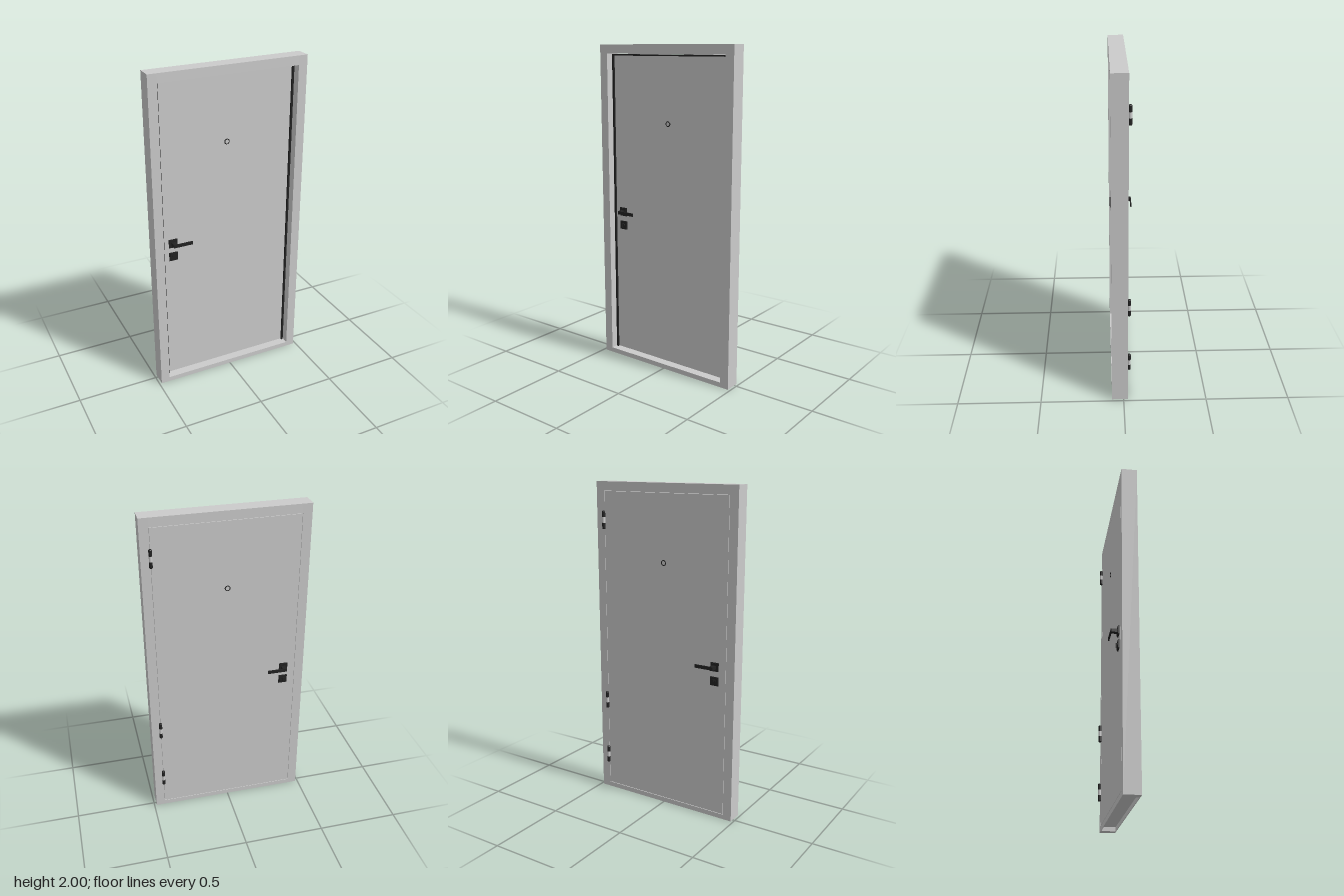
import * as THREE from 'three';

const grey = new THREE.MeshStandardMaterial({ color: 0xcccccc });
const dark = new THREE.MeshStandardMaterial({ color: 0x222222 });

function add(parent, name, geometry, material, x = 0, y = 0, z = 0) {
  const mesh = new THREE.Mesh(geometry, material);
  mesh.name = name;
  mesh.position.set(x, y, z);
  parent.add(mesh);
  return mesh;
}

// Box given by its extents along each axis
function block(parent, name, material, [x0, x1], [y0, y1], [z0, z1]) {
  return add(parent, name, new THREE.BoxGeometry(x1 - x0, y1 - y0, z1 - z0), material,
    (x0 + x1) / 2, (y0 + y1) / 2, (z0 + z1) / 2);
}

const BACK = -0.025, FRONT = 0.07, LEAF_FRONT = 0.02;
const OUTER = 0.485, INNER = 0.43, HEAD = 1.945, SILL = 0.03;

function createFrame() {
  const frame = new THREE.Group();
  frame.name = 'frame';
  const depth = [BACK, FRONT];
  block(frame, 'leftJamb', grey, [INNER, OUTER], [0, 2], depth);
  block(frame, 'rightJamb', grey, [-OUTER, -INNER], [0, 2], depth);
  block(frame, 'head', grey, [-INNER, INNER], [HEAD, 2], depth);
  // Sill is a channel, open underneath
  const width = [-INNER, INNER], t = 0.004;
  block(frame, 'sillTop', grey, width, [SILL - t, SILL], depth);
  block(frame, 'sillFront', grey, width, [0, SILL - t], [FRONT - t, FRONT]);
  block(frame, 'sillBack', grey, width, [0, SILL - t], [BACK, BACK + t]);
  // Rubber seal round the sides and top
  const seal = [LEAF_FRONT, 0.03];
  for (const s of [-1, 1]) {
    block(frame, 'sideSeal', dark, s < 0 ? [-0.425, -0.413] : [0.413, 0.425], [SILL, 1.942], seal);
  }
  block(frame, 'topSeal', dark, [-0.425, 0.425], [1.933, 1.942], seal);
  return frame;
}

// Lever, lock and peephole for one face; local +z points away from the leaf
function createHardware(dir) {
  const set = new THREE.Group();
  set.name = 'hardware';
  const x = -0.355 * dir, s = dir;
  const rose = (name, y) => {
    add(set, name, new THREE.BoxGeometry(0.053, 0.053, 0.006), dark, x, y, 0.003);
    add(set, name + 'Step', new THREE.BoxGeometry(0.045, 0.045, 0.003), dark, x, y, 0.0075);
  };
  rose('handleRose', 0.96);
  rose('lockRose', 0.873);

  // Bent lever: neck out from the rose, then a flat grip along the leaf
  const shape = new THREE.Shape();
  shape.moveTo(-0.012 * s, 0.006);
  shape.lineTo(-0.012 * s, 0.043);
  shape.quadraticCurveTo(-0.012 * s, 0.047, -0.008 * s, 0.047);
  shape.lineTo(0.11 * s, 0.047);
  shape.lineTo(0.11 * s, 0.04);
  shape.lineTo(0.019 * s, 0.04);
  shape.quadraticCurveTo(0.014 * s, 0.04, 0.014 * s, 0.035);
  shape.lineTo(0.014 * s, 0.006);
  const lever = new THREE.ExtrudeGeometry(shape, { depth: 0.02, bevelEnabled: false, curveSegments: 6 });
  lever.translate(0, 0, -0.01).rotateX(Math.PI / 2);
  add(set, 'lever', lever, dark, x, 0.96, 0);

  // Thumb turn
  const hub = new THREE.CylinderGeometry(0.013, 0.013, 0.004, 24).rotateX(Math.PI / 2);
  add(set, 'turnHub', hub, dark, x, 0.873, 0.011);
  add(set, 'thumbTurn', new THREE.BoxGeometry(0.005, 0.026, 0.01), dark, x, 0.873, 0.013);

  // Peephole
  const ring = [[0.011, 0], [0.017, 0], [0.017, 0.002], [0.015, 0.0035], [0.012, 0.0035], [0.011, 0.001]]
    .map(([r, h]) => new THREE.Vector2(r, h));
  add(set, 'peepholeRing', new THREE.LatheGeometry(ring, 32).rotateX(Math.PI / 2), dark, 0, 1.54, 0);
  const lens = new THREE.CylinderGeometry(0.0115, 0.0115, 0.002, 32).rotateX(Math.PI / 2);
  add(set, 'peepholeLens', lens, grey, 0, 1.54, 0.001);
  return set;
}

function createHinge(y) {
  const hinge = new THREE.Group();
  hinge.name = 'hinge';
  hinge.position.set(INNER, y, -0.034);
  add(hinge, 'hingeBarrel', new THREE.CylinderGeometry(0.0095, 0.0095, 0.034, 20), grey);
  for (const s of [-1, 1]) {
    add(hinge, 'hingeKnuckle', new THREE.CylinderGeometry(0.01, 0.01, 0.034, 20), dark, 0, s * 0.034, 0);
    add(hinge, 'hingeCap', new THREE.CylinderGeometry(s > 0 ? 0.007 : 0.01, s > 0 ? 0.01 : 0.007, 0.004, 20),
      dark, 0, s * 0.053, 0);
  }
  return hinge;
}

export function createModel() {
  const door = new THREE.Group();
  door.name = 'door';
  door.add(createFrame());
  block(door, 'leaf', grey, [-0.428, 0.428], [SILL + 0.003, HEAD - 0.002], [BACK, LEAF_FRONT]);

  const front = createHardware(1);
  front.position.z = LEAF_FRONT;
  const back = createHardware(-1);
  back.rotation.y = Math.PI;
  back.position.z = BACK;
  door.add(front, back);

  for (const y of [1.77, 0.615, 0.235]) door.add(createHinge(y));
  return door;
}
